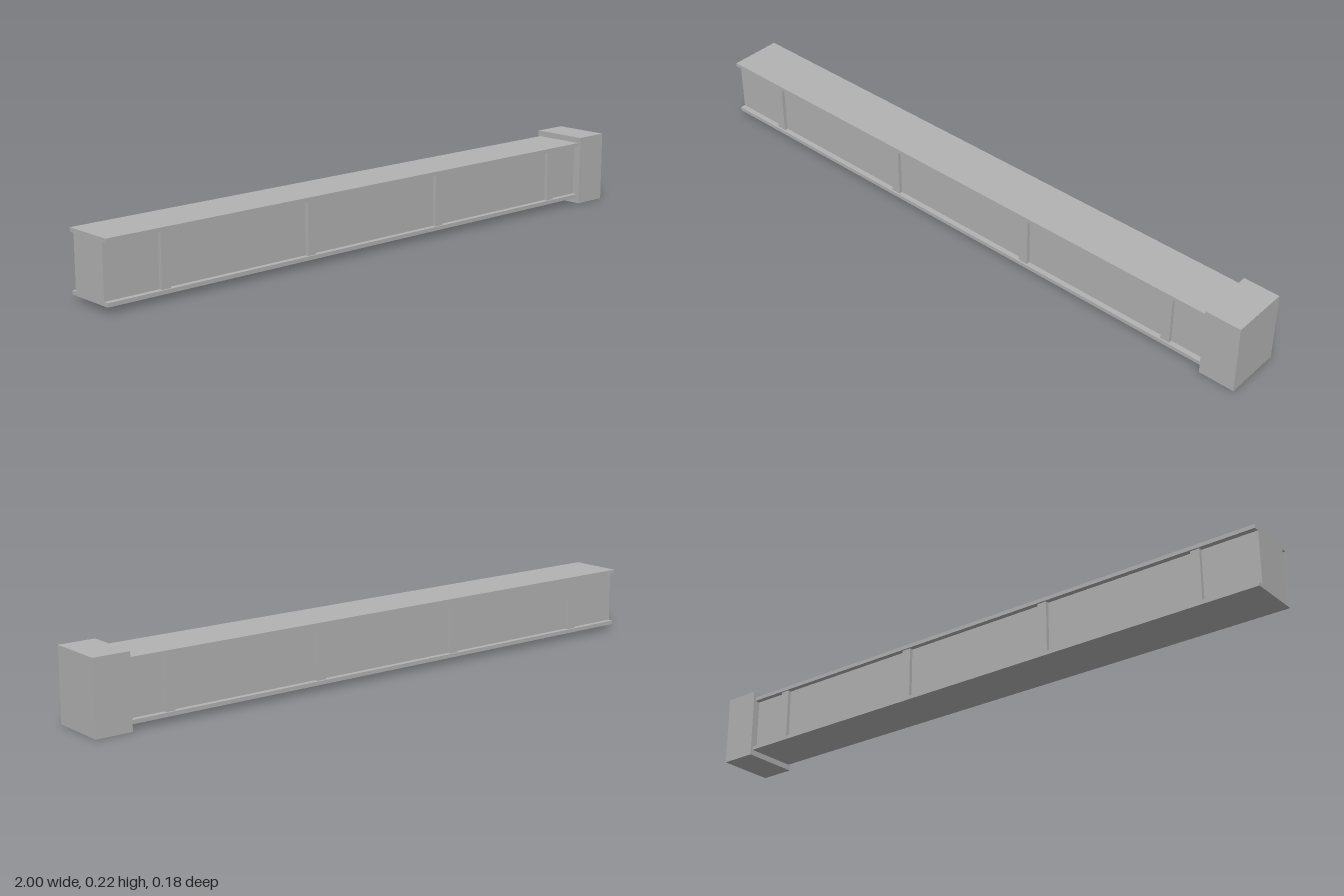
import * as THREE from 'three';

export function createModel() {
  const model = new THREE.Group();
  const grey = new THREE.MeshStandardMaterial({ color: 0xb2b2b2 });
  grey.name = 'plain grey';

  // Box given by its extents in x and y and its full depth in z
  function addBox(name, x0, x1, y0, y1, depth, parent = model) {
    const mesh = new THREE.Mesh(new THREE.BoxGeometry(x1 - x0, y1 - y0, depth), grey);
    mesh.position.set((x0 + x1) / 2, (y0 + y1) / 2, 0);
    mesh.name = name;
    parent.add(mesh);
  }

  const bottom = 0.0185, top = 0.2055, flange = 0.012;
  const beamEnd = 0.885;

  // Beam core with overhanging flanges
  addBox('beamCore', -1, beamEnd, bottom + flange, top - flange, 0.134);
  addBox('bottomFlange', -1, beamEnd, bottom, bottom + flange, 0.168);
  addBox('topFlange', -1, beamEnd, top - flange, top, 0.168);

  // Evenly spaced upright ribs showing on both sides
  const ribs = new THREE.Group();
  ribs.name = 'ribs';
  for (let i = 0; i < 4; i++) {
    const x = -0.807 + i * 0.5205;
    addBox('rib', x - 0.015, x + 0.015, bottom + flange, top - flange, 0.157, ribs);
  }
  model.add(ribs);

  // Larger block closing the left end
  addBox('endBlock', beamEnd, 1, 0, 0.224, 0.184);

  return model;
}
